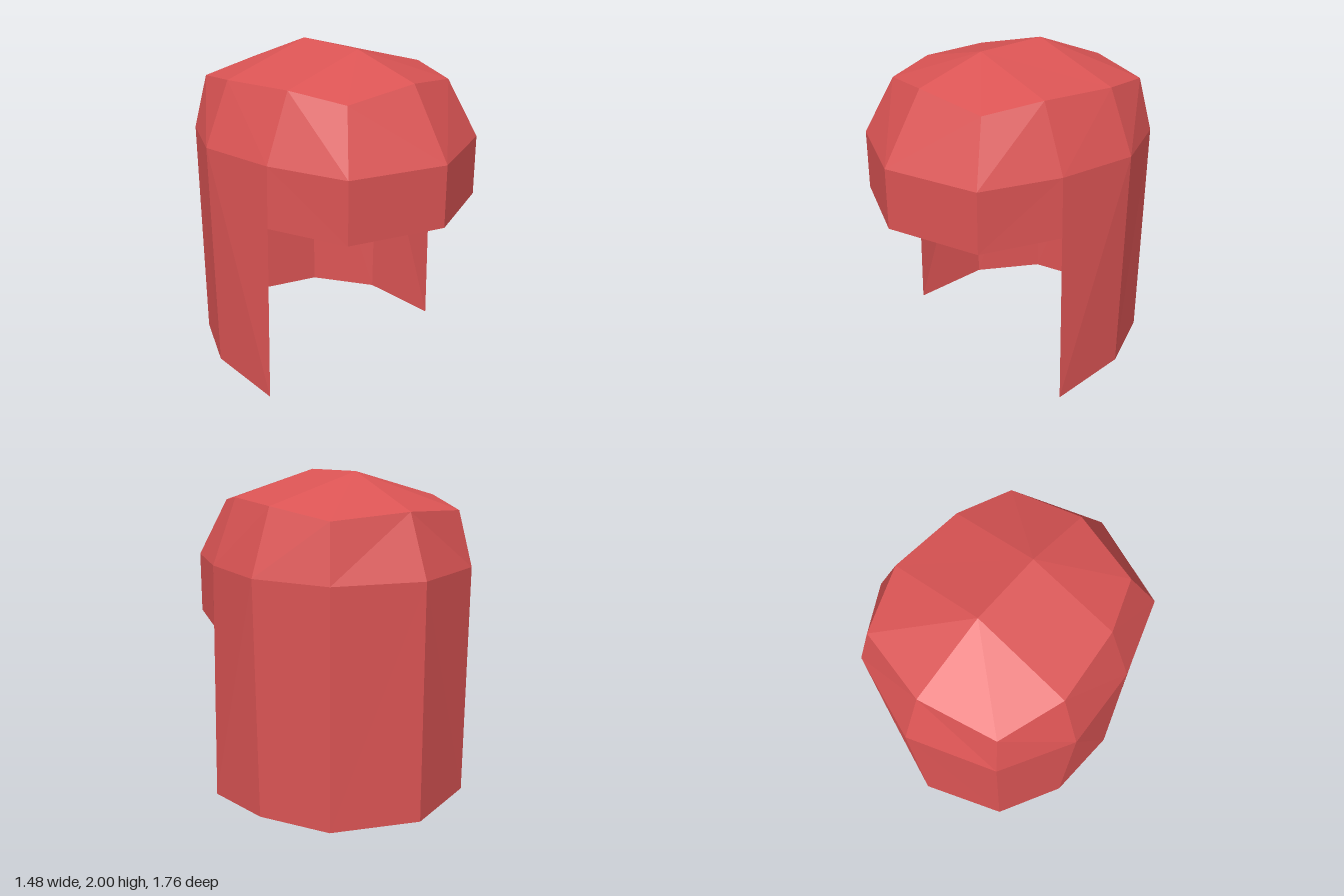
import * as THREE from 'three';

const red = new THREE.MeshStandardMaterial({ color: 0xdb5454, side: THREE.DoubleSide, flatShading: true });
red.name = 'red';

// Half cross-sections on the +x side, from front centre to back centre
const hem = [[0, 1.08, 0.88], [0.56, 1.08, 0.67], [0.72, 1.09, 0.205]];
const skirt = [[0.74, 0, 0.205], [0.72, 0.04, -0.29], [0.505, 0.04, -0.69], [0, 0.04, -0.88]];
const brow = [[0, 1.45, 0.88], [0.56, 1.45, 0.67], [0.712, 1.455, 0.205], [0.74, 1.455, -0.29], [0.51, 1.45, -0.70], [0, 1.45, -0.88]];
const crown = [[0, 1.86, 0.63], [0.43, 1.8, 0.535], [0.55, 1.845, 0.205], [0.595, 1.835, -0.25], [0.46, 1.78, -0.63], [0, 1.81, -0.735]];
const ridge = [[0, 1.99, 0.205], [0, 2, -0.24]];

// Quads joining a lower half-section to an upper one
function band(lower, upper) {
  return lower.slice(1).map((p, i) => [lower[i], p, upper[i + 1], upper[i]]);
}

// Mesh from corner quads, mirrored across x = 0
function mirroredMesh(name, quads) {
  const pos = [];
  const tri = (a, b, c) => pos.push(...a, ...b, ...c);
  const flip = ([x, y, z]) => [-x, y, z];
  for (const [a, b, c, d] of quads) {
    tri(a, b, c);
    tri(a, c, d);
    const [e, f, g, h] = [a, b, c, d].map(flip);
    tri(e, g, f);
    tri(e, h, g);
  }
  const geo = new THREE.BufferGeometry();
  geo.setAttribute('position', new THREE.Float32BufferAttribute(pos, 3));
  geo.computeVertexNormals();
  const mesh = new THREE.Mesh(geo, red);
  mesh.name = name;
  return mesh;
}

export function createModel() {
  const model = new THREE.Group();
  model.name = 'hood';

  // Short fringe over the face
  model.add(mirroredMesh('fringe', band(hem, brow.slice(0, 3))));

  // Long curtain around the sides and back
  model.add(mirroredMesh('backCurtain', band(skirt, brow.slice(2))));

  // Sloping band above the brow line
  model.add(mirroredMesh('slopingSides', band(brow, crown)));

  // Shallow cap folded along a central ridge
  const [front, back] = ridge;
  model.add(mirroredMesh('cap', [
    [front, crown[0], crown[1], crown[2]],
    [front, crown[2], crown[3], back],
    [back, crown[3], crown[4], crown[5]],
  ]));
  return model;
}
